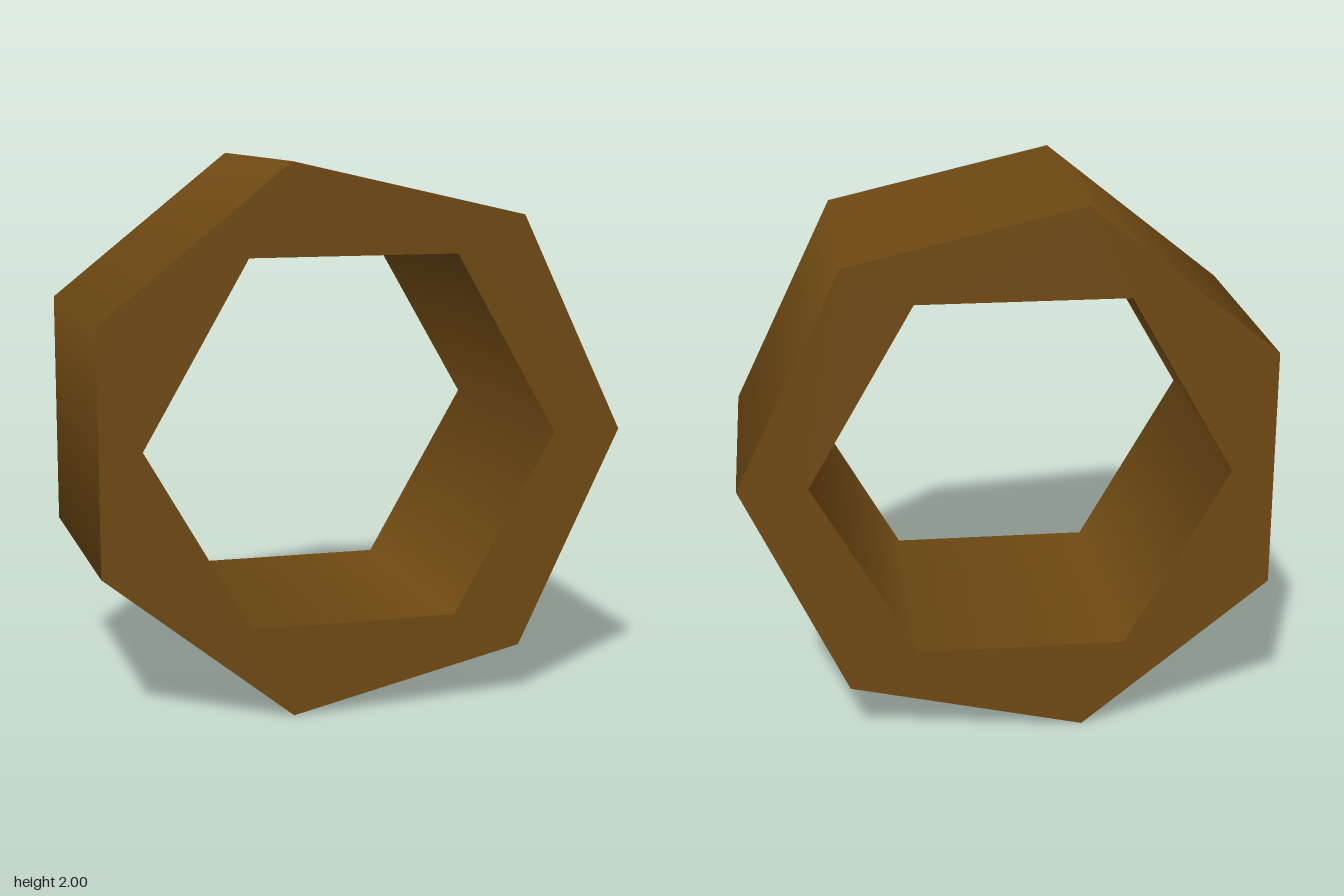
import * as THREE from 'three';

const OUTER = { sides: 7, radius: 1.026 };
const INNER = { sides: 6, radius: 0.77 };
const HALF = 0.525;

// Corners of a regular polygon with its first corner on +x
function corners({ sides, radius }) {
  return Array.from({ length: sides }, (_, i) => {
    const a = (i / sides) * Math.PI * 2;
    return new THREE.Vector2(radius * Math.cos(a), radius * Math.sin(a));
  });
}

// Smooth-shaded wall along z; a reversed profile makes it face inwards
function wall({ sides, radius }, inward) {
  const profile = [new THREE.Vector2(radius, -HALF), new THREE.Vector2(radius, HALF)];
  if (inward) profile.reverse();
  return new THREE.LatheGeometry(profile, sides, Math.PI / 2).rotateX(Math.PI / 2);
}

export function createModel() {
  const group = new THREE.Group();
  group.name = 'hollowPrism';
  const material = new THREE.MeshStandardMaterial({ color: 0x704a13 });

  const add = (name, geometry) => {
    const mesh = new THREE.Mesh(geometry, material);
    mesh.name = name;
    mesh.position.set(-0.055, 1, 0);
    group.add(mesh);
    return mesh;
  };

  // Seven-sided outside and six-sided bore
  add('outerWall', wall(OUTER, false));
  add('innerWall', wall(INNER, true));

  // Flat end faces with the bore cut out
  const face = new THREE.Shape(corners(OUTER));
  face.holes.push(new THREE.Path(corners(INNER)));
  const cap = new THREE.ShapeGeometry(face);
  add('frontFace', cap.clone().translate(0, 0, HALF));
  add('backFace', cap.clone().rotateX(Math.PI).translate(0, 0, -HALF));

  return group;
}
